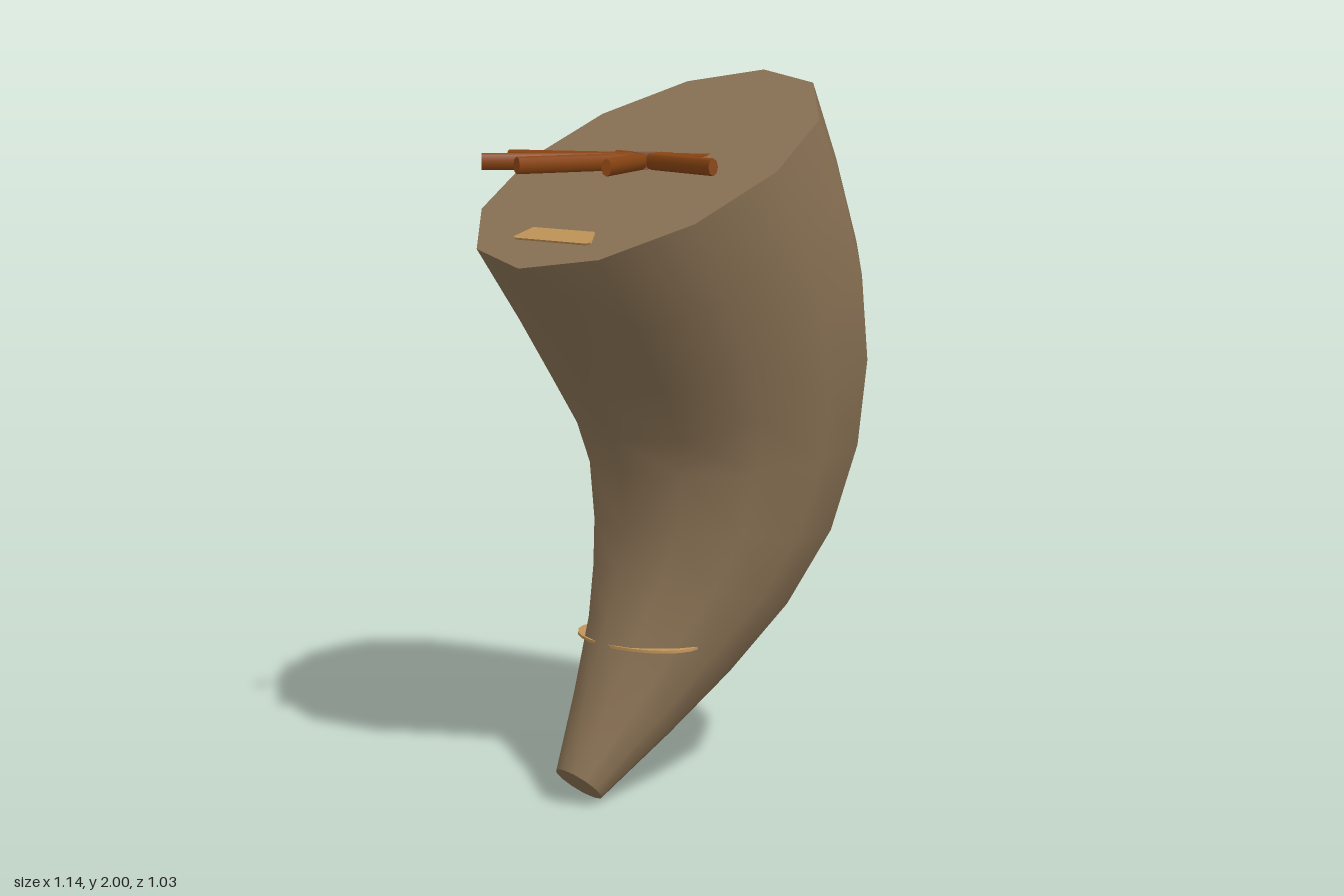
import * as THREE from 'three';

const SIDES = 12;
// Ring ends in the side plane, mouth to tip: inner x, y, outer x, y
const RINGS = [
  [-0.57, 1.485, 0.32, 2.0], [-0.43, 1.285, 0.42, 1.79], [-0.33, 1.13, 0.515, 1.55],
  [-0.25, 1.0, 0.57, 1.27], [-0.218, 0.9, 0.56, 0.98], [-0.215, 0.75, 0.475, 0.71],
  [-0.235, 0.63, 0.32, 0.48], [-0.27, 0.5, 0.12, 0.3], [-0.345, 0.3, -0.09, 0.15],
  [-0.43, 0.1, -0.32, 0.0],
];

function ringPoints([ix, iy, ox, oy]) {
  const cx = (ix + ox) / 2, cy = (iy + oy) / 2;
  const hx = (ox - ix) / 2, hy = (oy - iy) / 2, r = Math.hypot(hx, hy);
  const pts = [];
  for (let j = 0; j < SIDES; j++) {
    const a = (j / SIDES) * Math.PI * 2;
    pts.push(cx + hx * Math.cos(a), cy + hy * Math.cos(a), r * Math.sin(a));
  }
  return pts;
}

function buildGeometry(positions, index) {
  const g = new THREE.BufferGeometry();
  g.setAttribute('position', new THREE.Float32BufferAttribute(positions, 3));
  g.setIndex(index);
  g.computeVertexNormals();
  return g;
}

function hornGeometry() {
  const index = [];
  for (let i = 0; i < RINGS.length - 1; i++) {
    for (let j = 0; j < SIDES; j++) {
      const k = (j + 1) % SIDES;
      const a = i * SIDES + j, b = i * SIDES + k;
      index.push(a, b, a + SIDES, b, b + SIDES, a + SIDES);
    }
  }
  return buildGeometry(RINGS.flatMap(ringPoints), index);
}

function capGeometry(ring, up) {
  const index = [];
  for (let j = 1; j < SIDES - 1; j++) index.push(0, up ? j + 1 : j, up ? j : j + 1);
  return buildGeometry(ringPoints(ring), index);
}

export function createModel() {
  const model = new THREE.Group();
  const material = (name, color) => {
    const m = new THREE.MeshStandardMaterial({ color });
    m.name = name;
    return m;
  };
  const horn = material('horn', 0x8b7355);
  const wood = material('brown', 0x8b4513);
  const rose = material('rosy brown', 0x8b5a45);
  const tan = material('tan', 0xc4965a);
  const add = (name, geometry, mat, parent = model) => {
    const mesh = new THREE.Mesh(geometry, mat);
    mesh.name = name;
    parent.add(mesh);
    return mesh;
  };

  // Curved, tapering horn with flat ends
  add('hornBody', hornGeometry(), horn);
  add('mouthCap', capGeometry(RINGS[0], true), horn);
  add('tipCap', capGeometry(RINGS[RINGS.length - 1], false), horn);

  // Level star of ten spokes, half sunk into the sloping mouth
  const star = new THREE.Group();
  star.name = 'star';
  star.position.set(-0.127, 1.755, 0);
  model.add(star);
  const spokeGeometry = new THREE.CylinderGeometry(1, 1, 0.445, 8);
  spokeGeometry.rotateZ(Math.PI / 2).scale(1, 0.023, 0.0135).translate(0.2225, 0, 0);
  for (let i = 0; i < 10; i++) {
    add('spoke', spokeGeometry, wood, star).rotation.y = (i / 10) * Math.PI * 2;
  }
  add('hub', new THREE.CylinderGeometry(0.035, 0.035, 0.048, 10), rose, star);

  // Tan strip lying on the low side of the mouth
  const strip = new THREE.Shape([
    [-0.025, -0.15], [-0.018, -0.16], [0.03, -0.128],
    [0.03, 0.128], [-0.018, 0.16], [-0.025, 0.15],
  ].map(([x, y]) => new THREE.Vector2(x, y)));
  const stripGeometry = new THREE.ExtrudeGeometry(strip, { depth: 0.006, bevelEnabled: false });
  stripGeometry.rotateX(-Math.PI / 2);
  const plate = add('mouthStrip', stripGeometry, tan);
  plate.position.set(-0.439, 1.561, 0);
  plate.rotation.z = Math.atan2(0.515, 0.89);

  // Thin band just breaking the surface near the tip
  const band = add('tipBand', new THREE.CylinderGeometry(1, 1, 0.008, 24), tan);
  band.scale.set(0.14, 1, 0.213);
  band.position.set(-0.15, 0.43, 0);

  return model;
}
